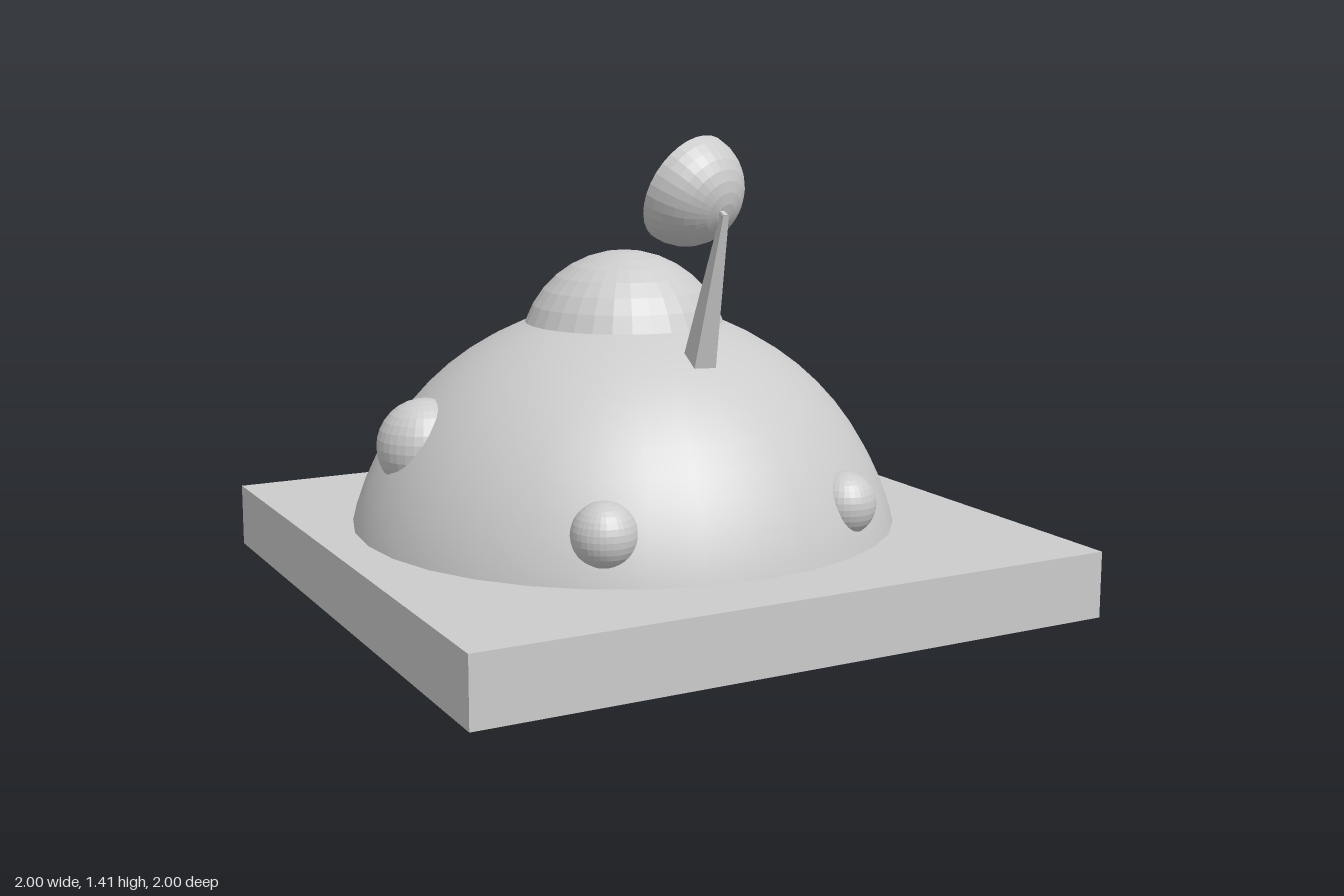
import * as THREE from 'three';

const smooth = new THREE.MeshStandardMaterial({ color: 0xcccccc });
const faceted = new THREE.MeshStandardMaterial({ color: 0xcccccc, flatShading: true });
const thin = new THREE.MeshStandardMaterial({ color: 0xcccccc, flatShading: true, side: THREE.DoubleSide });
const UP = new THREE.Vector3(0, 1, 0);

function add(parent, name, geometry, material, x, y, z) {
  const mesh = new THREE.Mesh(geometry, material);
  mesh.name = name;
  mesh.position.set(x, y, z);
  parent.add(mesh);
  return mesh;
}

// Sphere cut off at a polar angle below its top
const cap = (radius, rows, angle) =>
  new THREE.SphereGeometry(radius, 32, rows, 0, Math.PI * 2, 0, angle);

// Square bar tapering from one point to another
function bar(parent, name, from, to, widthFrom, widthTo) {
  const a = new THREE.Vector3(...from), b = new THREE.Vector3(...to);
  const dir = b.clone().sub(a);
  const geometry = new THREE.CylinderGeometry(
    widthTo * Math.SQRT1_2, widthFrom * Math.SQRT1_2, dir.length(), 4);
  geometry.rotateY(Math.PI / 4);
  const mid = a.add(b).multiplyScalar(0.5);
  const mesh = add(parent, name, geometry, faceted, mid.x, mid.y, mid.z);
  mesh.quaternion.setFromUnitVectors(UP, dir.normalize());
}

export function createModel() {
  const model = new THREE.Group();
  model.name = 'domeStation';
  const cx = -0.033, cz = -0.06;

  // Square slab
  add(model, 'base', new THREE.BoxGeometry(2, 0.2, 2), faceted, 0, 0.1, 0);

  // Main dome, its lower rim sunk into the slab
  add(model, 'mainDome', cap(0.873, 14, Math.PI * 7 / 16), smooth, cx, 0, cz);

  // Smaller dome on top
  add(model, 'topDome', cap(0.328, 7, 1.236), faceted, cx + 0.005, 0.712, cz);

  // Four small bulges at the corners
  for (const x of [-0.435, 0.353])
    for (const side of [1, -1])
      add(model, 'cornerBulge', new THREE.SphereGeometry(0.095, 32, 16), faceted,
        x, 0.335, cz + side * 0.67);

  // Two larger bulges at the sides
  for (const x of [-0.68, 0.57])
    add(model, 'sideBulge', new THREE.SphereGeometry(0.145, 32, 16), faceted, x, 0.475, -0.105);

  // Antenna: leaning mast, short link and open bowl
  const antenna = new THREE.Group();
  antenna.name = 'antenna';
  model.add(antenna);
  bar(antenna, 'mast', [-0.003, 0.72, 0.365], [-0.002, 1.19, 0.511], 0.075, 0.018);
  bar(antenna, 'dishLink', [-0.002, 1.183, 0.518], [-0.002, 1.205, 0.46], 0.014, 0.014);
  const dish = add(antenna, 'dish', cap(0.17, 8, Math.PI / 2), thin, -0.03, 1.255, 0.342);
  dish.quaternion.setFromUnitVectors(UP, new THREE.Vector3(0.11, -0.15, 0.31).normalize());
  dish.scale.y = 0.97;

  return model;
}
